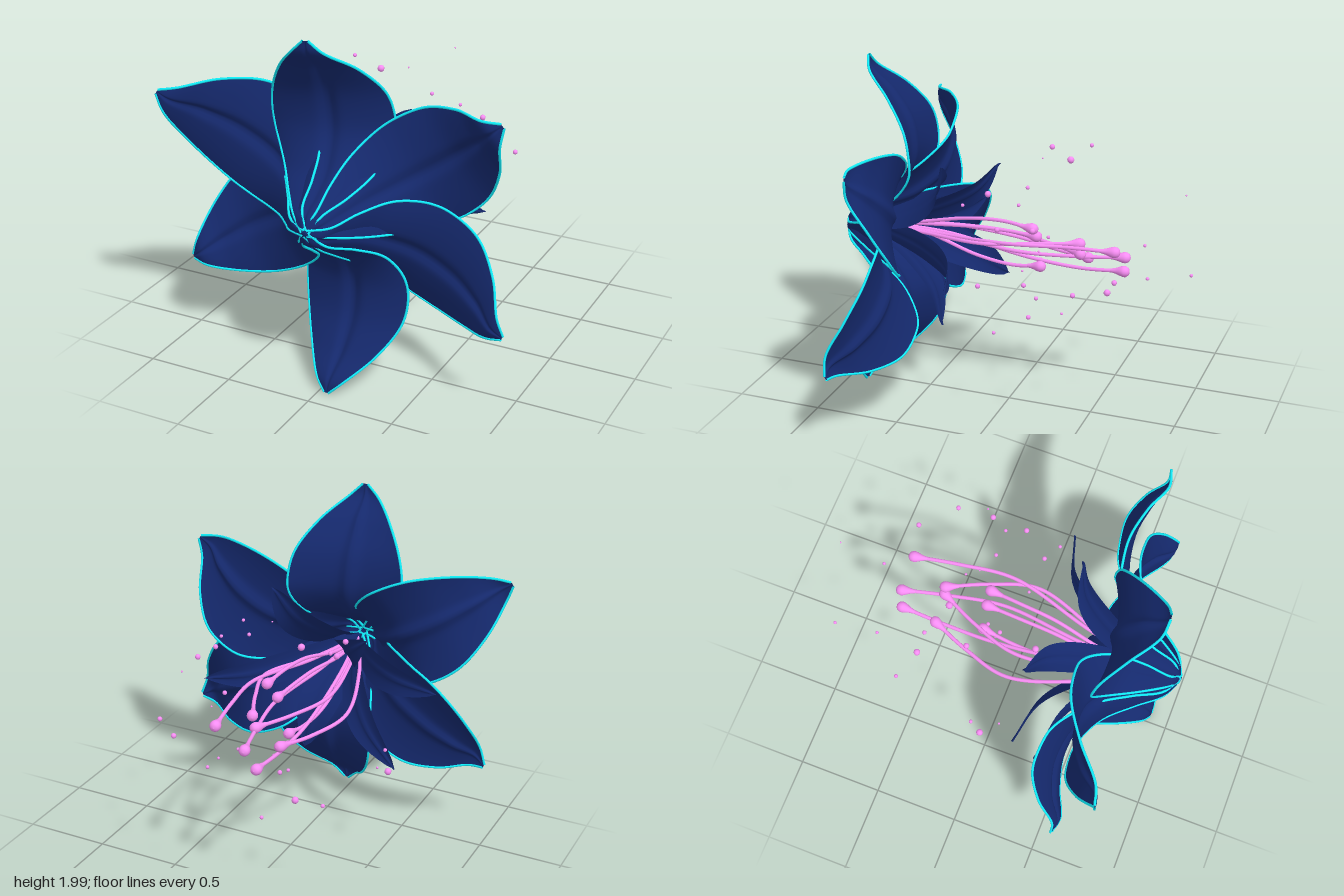
import * as THREE from 'three';

const AXIS_Y = 1; // height of the flower's axis, which runs along z
const mat = (color) => new THREE.MeshStandardMaterial({ color, side: THREE.DoubleSide });
const navy = mat(0x15296d), cyan = mat(0x10f0ff), pink = mat(0xf88ef4);

function add(parent, name, geometry, material) {
  const mesh = new THREE.Mesh(geometry, material);
  mesh.name = name;
  parent.add(mesh);
  return mesh;
}

// Bends a plane into a sheet: at(u, t) gives the point across (-1..1) and along (0..1)
function sheet(at, across, along) {
  const g = new THREE.PlaneGeometry(2, 1, across, along);
  const p = g.attributes.position;
  for (let i = 0; i < p.count; i++) {
    const v = at(-p.getX(i), p.getY(i) + 0.5);
    p.setXYZ(i, v.x, v.y, v.z);
  }
  g.computeVertexNormals();
  return g;
}

// Section of a petal along its length: radius, depth z, half width
const petalSpine = new THREE.CatmullRomCurve3([
  [0, 1, 0.02], [0.08, 0.965, 0.08], [0.14, 0.85, 0.17], [0.24, 0.7, 0.265], [0.42, 0.6, 0.33],
  [0.62, 0.62, 0.315], [0.8, 0.73, 0.215], [0.93, 0.855, 0.085], [1, 0.87, 0.014],
].map((p) => new THREE.Vector3(...p)));

// Large petal reaching to the tip (x, y, z); lift moves its middle forward, bend moves it sideways
function petal([x, y, z], lift, bend, widen) {
  const a = Math.atan2(y - AXIS_Y, x), reach = Math.hypot(x, y - AXIS_Y);
  const at = (u, t) => {
    const s = petalSpine.getPoint(t);
    const r = s.x * reach, w = s.z * widen;
    const side = bend * Math.sin(Math.PI * s.x) + u * w;
    const groove = 0.03 * Math.exp(-((u / 0.12) ** 2)) * Math.min(1, w / 0.2);
    const cup = 0.38 - 0.2 * Math.min(1, s.x / 0.5);
    const tilt = 0.16 * Math.min(1, s.x / 0.4);
    const depth = s.y + (z - 0.87) * s.x * s.x + lift * Math.sin(Math.PI * s.x)
      - cup * w * u * u + tilt * w * u - groove;
    return new THREE.Vector3(
      Math.cos(a) * r - Math.sin(a) * side,
      AXIS_Y + Math.sin(a) * r + Math.cos(a) * side,
      depth);
  };
  const group = new THREE.Group();
  group.name = 'petal';
  add(group, 'petalBlade', sheet(at, 28, 44), navy);
  for (const u of [-1, 1]) {
    const pts = Array.from({ length: 31 }, (_, i) => at(u, i / 30));
    add(group, 'petalRim', new THREE.TubeGeometry(new THREE.CatmullRomCurve3(pts), 70, 0.007, 6), cyan);
  }
  return group;
}

// Narrow inner petal, a plain leaf curving outward to its tip
function innerPetal([x, y, z], halfWidth) {
  const a = Math.atan2(y - AXIS_Y, x), reach = Math.hypot(x, y - AXIS_Y);
  const spine = new THREE.CatmullRomCurve3(
    [[0.02, 0], [0.1, 0.25], [0.3, 0.6], [0.6, 0.88], [1, 1]]
      .map(([r, f]) => new THREE.Vector3(r * reach, 0.92 + (z - 0.92) * f, 0)));
  const at = (u, t) => {
    const s = spine.getPoint(t);
    const w = halfWidth * (0.15 * (1 - t) + Math.sin(Math.PI * t ** 1.35) ** 0.75);
    const depth = s.y - 0.2 * w * u * u - 0.012 * Math.exp(-((u / 0.15) ** 2));
    return new THREE.Vector3(
      Math.cos(a) * s.x - Math.sin(a) * u * w,
      AXIS_Y + Math.sin(a) * s.x + Math.cos(a) * u * w,
      depth);
  };
  return sheet(at, 12, 24);
}

// Teardrop end of a stamen, pointing along y
const antherShape = new THREE.LatheGeometry(
  new THREE.SplineCurve([
    [0.011, -0.075], [0.017, -0.045], [0.029, -0.012], [0.031, 0.008], [0.021, 0.028], [0, 0.036],
  ].map((p) => new THREE.Vector2(...p))).getPoints(16), 16);

// Stamen: a bowed filament with a swollen end
function stamen(tip, bowX) {
  const group = new THREE.Group();
  group.name = 'stamen';
  const end = new THREE.Vector3(...tip);
  const y = (f) => AXIS_Y + (end.y - AXIS_Y) * f;
  const path = new THREE.CatmullRomCurve3([
    new THREE.Vector3(-0.01, AXIS_Y, 0.88),
    new THREE.Vector3(bowX * 0.55 - 0.03, y(0.3), 0.88 + (end.z - 0.88) * 0.3),
    new THREE.Vector3(bowX, y(0.98), 0.88 + (end.z - 0.88) * 0.62),
    new THREE.Vector3(bowX * 0.55 + end.x * 0.45, y(1.13), 0.88 + (end.z - 0.88) * 0.83),
    end,
  ]);
  add(group, 'filament', new THREE.TubeGeometry(path, 48, 0.011, 8), pink);
  const anther = add(group, 'anther', antherShape, pink);
  anther.position.copy(end);
  anther.quaternion.setFromUnitVectors(new THREE.Vector3(0, 1, 0), path.getTangent(1));
  return group;
}

export function createModel() {
  const flower = new THREE.Group();
  flower.name = 'flower';

  // Six large petals: tip, forward lift, sideways bend, width factor
  [
    [[-0.05, 1.99, 0.86], 0.01, 0.045, 1.01], [[0.9, 1.6, 0.57], -0.01, -0.045, 0.95],
    [[0.98, 0.48, 0.69], 0, 0.025, 0.95], [[0.05, 0.01, 0.89], 0.02, 0.045, 1.01],
    [[-0.96, 0.48, 0.6], -0.01, -0.045, 0.95], [[-0.99, 1.55, 0.82], 0, 0.02, 0.95],
  ].forEach((args) => flower.add(petal(...args)));

  // Six narrow inner petals
  [
    [[-0.72, 0.98, 0.4], 0.1], [[0.64, 0.9, 0.14], 0.085], [[0.27, 1.49, 0.3], 0.12],
    [[-0.37, 1.32, 0.2], 0.095], [[-0.56, 0.55, 0.21], 0.1], [[0.1, 0.46, 0.38], 0.12],
  ].forEach(([tip, w]) => add(flower, 'innerPetal', innerPetal(tip, w), navy));

  // Nine stamens in three lengths: tip and sideways bow
  [
    [[0.12, 1.07, -0.65], 0.2], [[-0.06, 0.97, -0.66], 0.06], [[-0.12, 0.86, -0.64], -0.13],
    [[0.02, 1.05, -0.42], 0.2], [[0, 0.98, -0.42], -0.19], [[-0.15, 0.9, -0.42], -0.31],
    [[0.065, 1.12, -0.16], 0.03], [[0, 1.05, -0.16], -0.02], [[-0.07, 0.84, -0.16], -0.1],
  ].forEach(([tip, bow]) => flower.add(stamen(tip, bow)));

  // Drifting pollen grains: x, y, z, radius
  const grain = new THREE.SphereGeometry(1, 10, 8);
  [
    [-0.06, 1.38, -0.995, 0.005], [-0.33, 0.8, -0.98, 0.01], [0.07, 0.92, -0.83, 0.01],
    [0.34, 0.99, -0.72, 0.015], [-0.34, 0.94, -0.7, 0.01], [0.53, 0.97, -0.55, 0.014],
    [-0.47, 0.68, -0.55, 0.012], [-0.28, 0.64, -0.5, 0.02], [-0.41, 1.48, -0.35, 0.012],
    [0.25, 0.72, -0.4, 0.008], [0.43, 1.26, -0.29, 0.016], [-0.21, 1.45, -0.29, 0.02],
    [0.5, 1.18, -0.35, 0.006], [0.34, 1.36, -0.18, 0.01], [0.17, 1.4, -0.17, 0.011],
    [-0.39, 1.45, -0.12, 0.016], [0.02, 0.68, -0.17, 0.012], [0.01, 0.55, -0.12, 0.014],
    [0.43, 1.24, -0.09, 0.015], [-0.02, 0.73, -0.08, 0.014], [0.33, 0.58, -0.03, 0.01],
    [0.44, 0.9, 0.02, 0.014], [-0.6, 0.64, 0.02, 0.02], [-0.6, 0.8, -0.03, 0.011],
    [0.37, 1.33, 0.13, 0.01], [-0.5, 0.6, 0.1, 0.007], [-0.19, 1.19, 0.2, 0.019],
    [0.01, 1.52, -0.2, 0.005],
  ].forEach(([x, y, z, r]) => {
    const m = add(flower, 'pollenGrain', grain, pink);
    m.position.set(x, y, z);
    m.scale.setScalar(r);
  });

  return flower;
}
